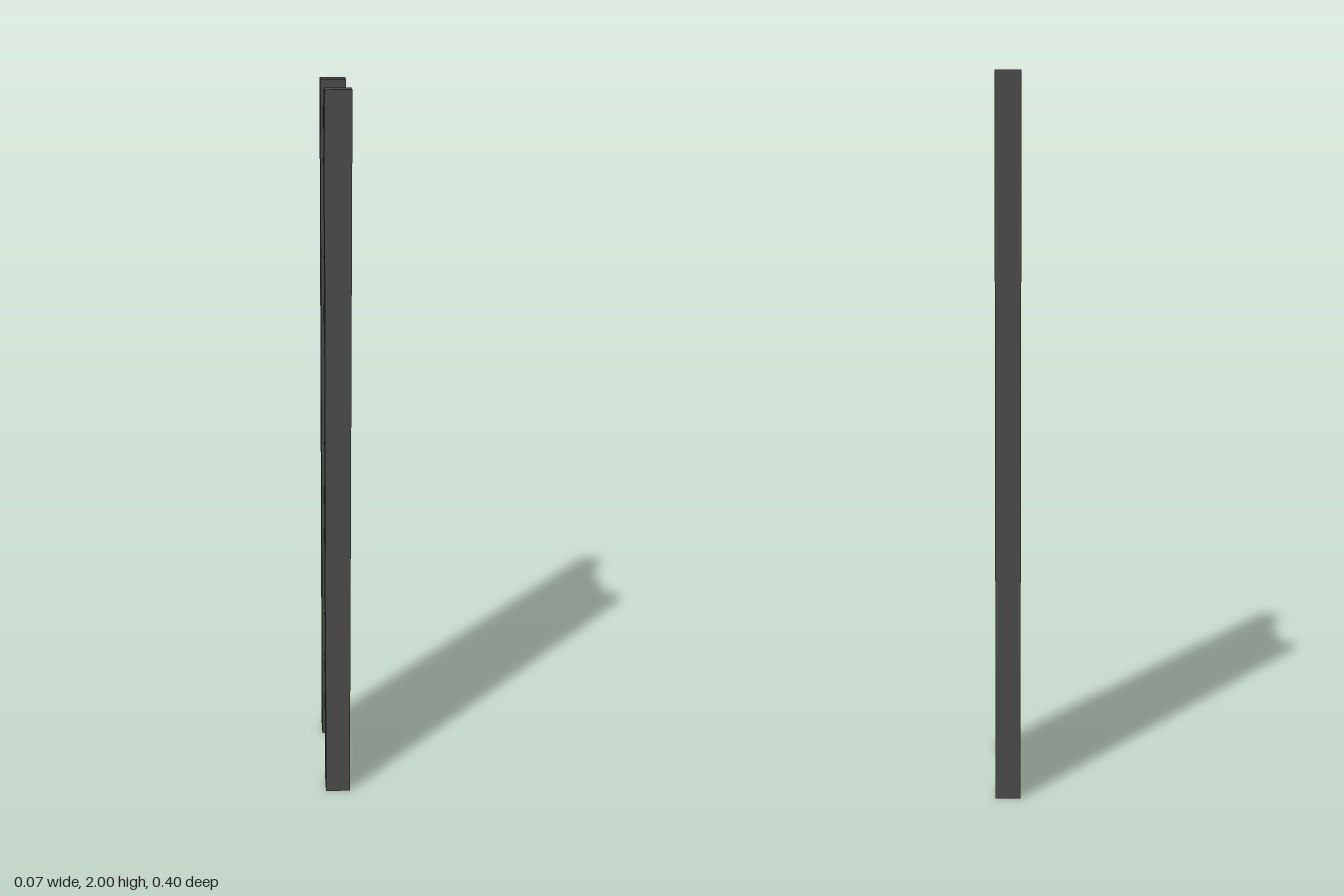
import * as THREE from 'three';

export function createModel() {
  const ladder = new THREE.Group();
  ladder.name = 'ladder';
  const darkGrey = new THREE.MeshStandardMaterial({ color: 0x4a4a4a });
  darkGrey.name = 'darkGrey';

  const addBox = (name, size, position) => {
    const mesh = new THREE.Mesh(new THREE.BoxGeometry(...size), darkGrey);
    mesh.name = name;
    mesh.position.set(...position);
    ladder.add(mesh);
  };

  // Two square uprights
  const railWidth = 0.07, railZ = 0.166;
  addBox('frontRail', [railWidth, 2, railWidth], [0, 1, railZ]);
  addBox('backRail', [railWidth, 2, railWidth], [0, 1, -railZ]);

  // Evenly spaced rungs, slightly thinner than the rails
  const rungCount = 14, firstRung = 0.115, rungStep = 0.1375;
  const rungLength = 2 * railZ - railWidth;
  for (let i = 0; i < rungCount; i++) {
    addBox(`rung${i + 1}`, [0.055, 0.054, rungLength], [0, firstRung + i * rungStep, 0]);
  }
  return ladder;
}
